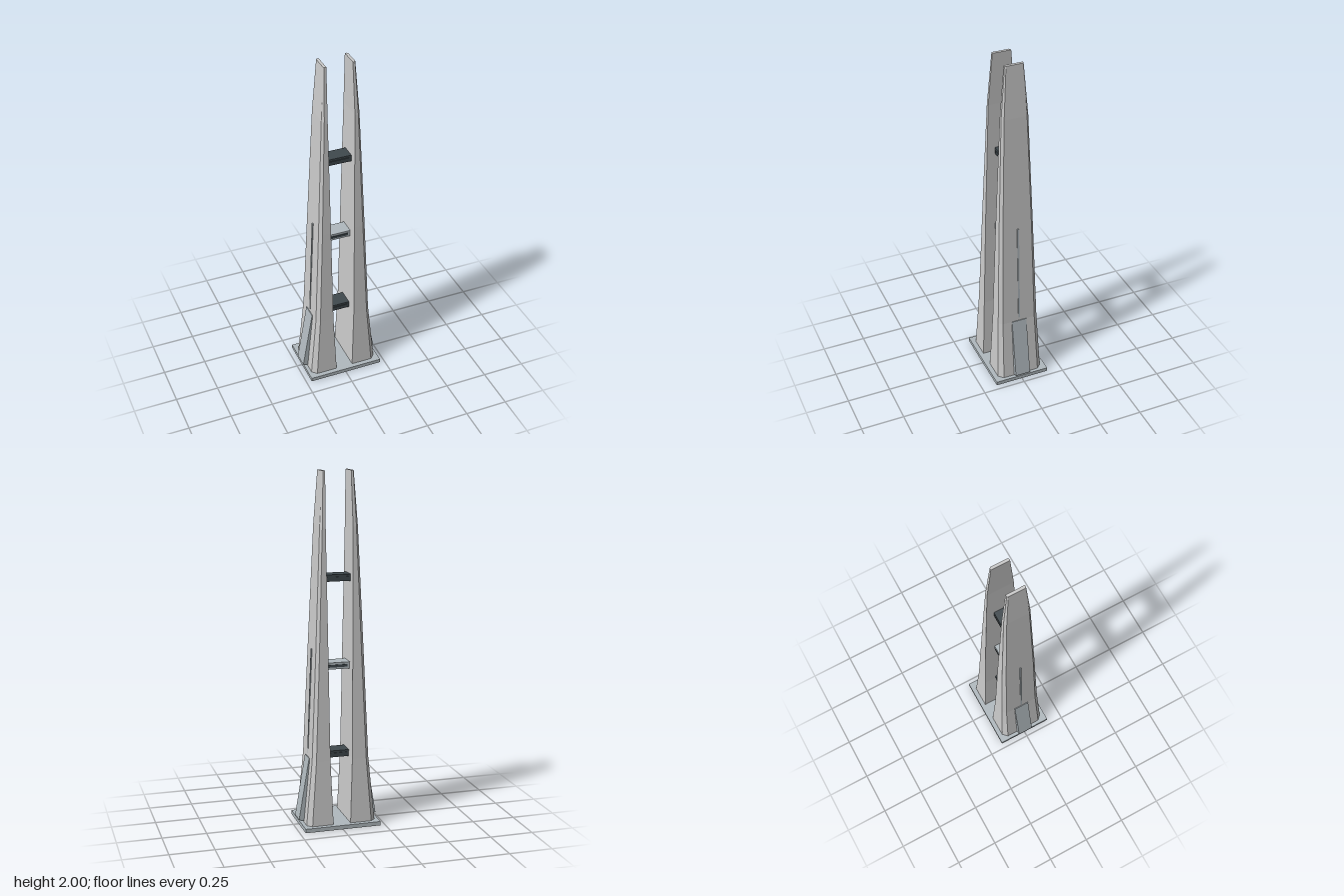
import * as THREE from 'three';

const mat = (color) => new THREE.MeshStandardMaterial({ color, flatShading: true });
const grey = mat(0xcccccc), steel = mat(0xb0b9be), dark = mat(0x40494e);

function add(parent, name, geometry, material, x = 0, y = 0, z = 0) {
  const mesh = new THREE.Mesh(geometry, material);
  mesh.name = name;
  mesh.position.set(x, y, z);
  parent.add(mesh);
  return mesh;
}

// Extrude a front-view outline symmetrically about z = 0
function slab(points, depth) {
  const shape = new THREE.Shape(points.map(([x, y]) => new THREE.Vector2(x, y)));
  const g = new THREE.ExtrudeGeometry(shape, { depth, bevelEnabled: false });
  return g.translate(0, 0, -depth / 2);
}

// Tower sections: height, inner x, chamfer x, outer x, half depth, chamfer z
const LEVELS = [
  [0.025, 0.05, 0.173, 0.2, 0.135, 0.108],
  [0.4, 0.064, 0.145, 0.164, 0.12, 0.098],
  [1.0, 0.07, 0.121, 0.138, 0.102, 0.086],
  [1.7, 0.077, 0.096, 0.108, 0.077, 0.065],
  [2.0, 0.073, 0.085, 0.089, 0.053, 0.046],
];

function towerGeometry() {
  const rings = LEVELS.map(([y, xi, xc, xo, z, zc]) => [
    [xi, y, z], [xc, y, z], [xo, y, zc], [xo, y, -zc], [xc, y, -z], [xi, y, -z],
  ]);
  const pos = [];
  const tri = (a, b, c) => pos.push(...a, ...b, ...c);
  for (let i = 0; i < rings.length - 1; i++) {
    const lo = rings[i], hi = rings[i + 1];
    for (let j = 0; j < 6; j++) {
      const k = (j + 1) % 6;
      tri(lo[j], lo[k], hi[k]);
      tri(lo[j], hi[k], hi[j]);
    }
  }
  // End caps
  const top = rings[rings.length - 1], bottom = rings[0];
  for (let j = 1; j < 5; j++) {
    tri(top[0], top[j], top[j + 1]);
    tri(bottom[0], bottom[j + 1], bottom[j]);
  }
  const g = new THREE.BufferGeometry();
  g.setAttribute('position', new THREE.Float32BufferAttribute(pos, 3));
  g.computeVertexNormals();
  return g;
}

// Chamfered dark panel under the base
function footPanel() {
  const outline = [[0.008, -0.135], [0.173, -0.135], [0.2, -0.108], [0.2, 0.108], [0.173, 0.135], [0.008, 0.135]];
  return slab(outline, 0.004).rotateX(-Math.PI / 2);
}

export function createModel() {
  const model = new THREE.Group();
  model.name = 'twinTower';

  // Base plate
  add(model, 'basePlate', new THREE.BoxGeometry(0.44, 0.023, 0.324), steel, 0, 0.0145, 0);

  // Two matching halves, each with a tower, a raking buttress and a slim fin
  for (const side of ['left', 'right']) {
    const half = new THREE.Group();
    half.name = side + 'Half';
    if (side === 'right') half.rotation.y = Math.PI;
    add(half, 'tower', towerGeometry(), grey);
    add(half, 'buttress', slab([[0.195, 0.031], [0.228, 0.041], [0.168, 0.4], [0.14, 0.4]], 0.09), steel, 0, 0, -0.002);
    add(half, 'fin', slab([[0.14, 0.4], [0.165, 0.42], [0.163, 0.49], [0.143, 1.02], [0.128, 1.02]], 0.01), steel, 0, 0, -0.003);
    add(half, 'footPanel', footPanel(), dark, 0, 0.002, 0);
    model.add(half);
  }

  // Bridges between the towers, with a proud dark strip front and back
  const bridges = [
    [0.414, 0.066, 0.048, dark],
    [0.923, 0.072, 0.046, steel],
    [1.416, 0.078, 0.042, dark],
  ];
  for (const [y, halfWidth, halfDepth, material] of bridges) {
    const bridge = new THREE.Group();
    bridge.name = 'bridge';
    bridge.position.set(0, y, -0.001);
    add(bridge, 'deck', new THREE.BoxGeometry(halfWidth * 2, 0.038, halfDepth * 2), material);
    add(bridge, 'windowStrip', new THREE.BoxGeometry(halfWidth * 1.55, 0.014, halfDepth * 2 + 0.008), dark);
    model.add(bridge);
  }
  return model;
}
